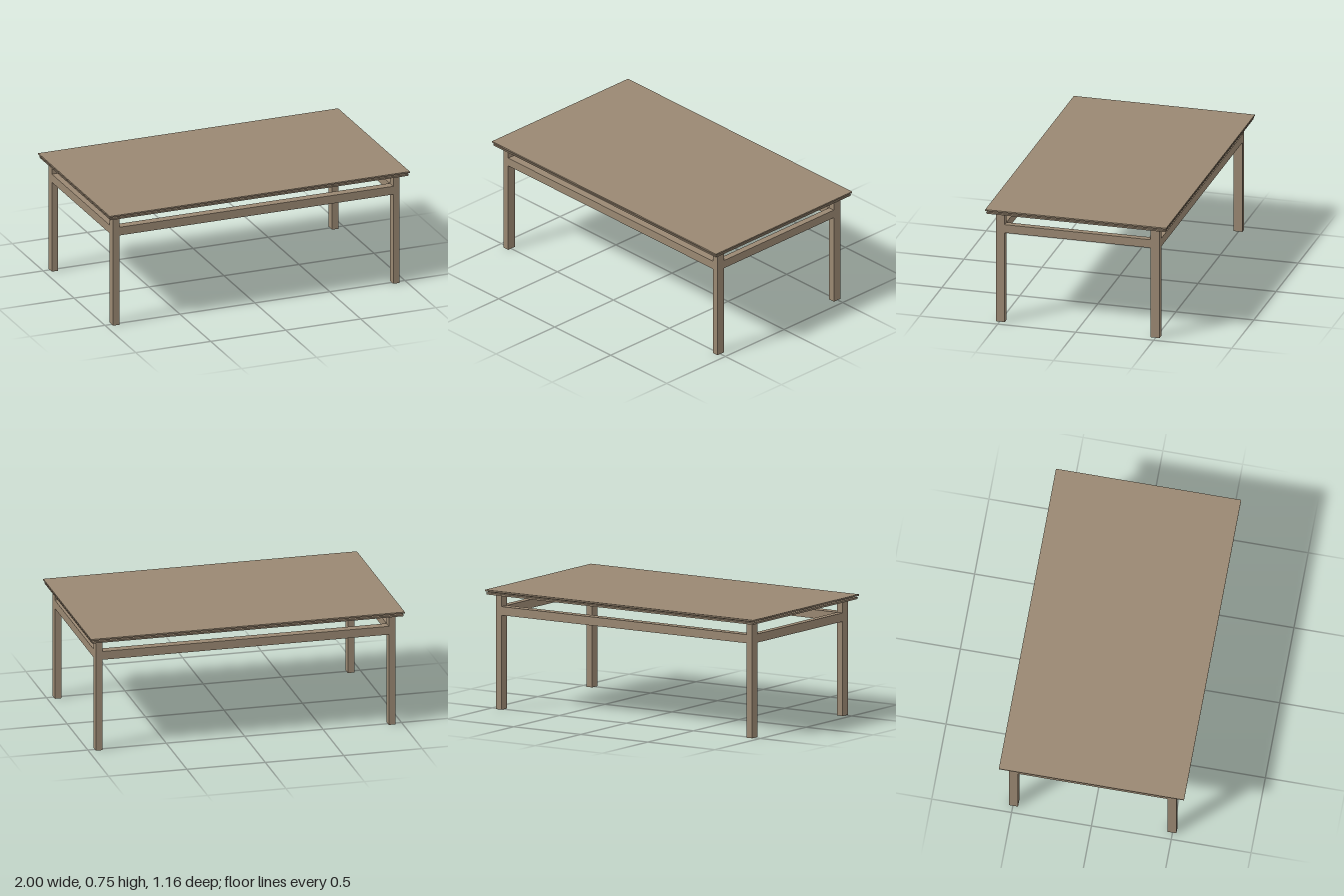
import * as THREE from 'three';

const HALF_X = 1, HALF_Z = 0.58;
const LEG = { x: 0.934, z: 0.496, w: 0.042, d: 0.057, h: 0.72 };
const RAIL = { y: 0.618, h: 0.054 };

// Stack of rectangular rings [inset, y], bottom to top, with flat caps
function rectLoft(rings) {
  const corners = rings.map(([i, y]) => [[-1, 1], [1, 1], [1, -1], [-1, -1]].map(
    ([sx, sz]) => [sx * (HALF_X - i), y, sz * (HALF_Z - i)]));
  const pos = [];
  const quad = (a, b, c, d) => pos.push(...a, ...b, ...c, ...a, ...c, ...d);
  for (let r = 0; r + 1 < corners.length; r++) {
    for (let k = 0; k < 4; k++) {
      const n = (k + 1) % 4;
      quad(corners[r][k], corners[r][n], corners[r + 1][n], corners[r + 1][k]);
    }
  }
  quad(...corners[corners.length - 1]);
  quad(...[...corners[0]].reverse());
  const g = new THREE.BufferGeometry();
  g.setAttribute('position', new THREE.Float32BufferAttribute(pos, 3));
  g.computeVertexNormals();
  return g;
}

export function createModel() {
  const table = new THREE.Group();
  table.name = 'table';
  const wood = new THREE.MeshStandardMaterial({ color: 0x9a8872 });
  wood.name = 'wood';

  const add = (name, geometry, x = 0, y = 0, z = 0) => {
    const mesh = new THREE.Mesh(geometry, wood);
    mesh.name = name;
    mesh.position.set(x, y, z);
    table.add(mesh);
  };

  // Table top with a shadow groove around its edge
  add('tableTop', rectLoft([
    [0.008, 0.72], [0.005, 0.732], [0.022, 0.734], [0, 0.741], [0, 0.75],
  ]));

  // Four legs
  for (const sx of [-1, 1]) {
    for (const sz of [-1, 1]) {
      add(`${sz > 0 ? 'front' : 'back'}${sx > 0 ? 'Left' : 'Right'}Leg`,
        new THREE.BoxGeometry(LEG.w, LEG.h, LEG.d), sx * LEG.x, LEG.h / 2, sz * LEG.z);
    }
  }

  // Rails between the legs
  for (const s of [-1, 1]) {
    add(s > 0 ? 'frontRail' : 'backRail',
      new THREE.BoxGeometry(2 * LEG.x - LEG.w, RAIL.h, LEG.d), 0, RAIL.y, s * LEG.z);
    add(s > 0 ? 'leftRail' : 'rightRail',
      new THREE.BoxGeometry(LEG.w, RAIL.h, 2 * LEG.z - LEG.d), s * LEG.x, RAIL.y, 0);
  }
  return table;
}
